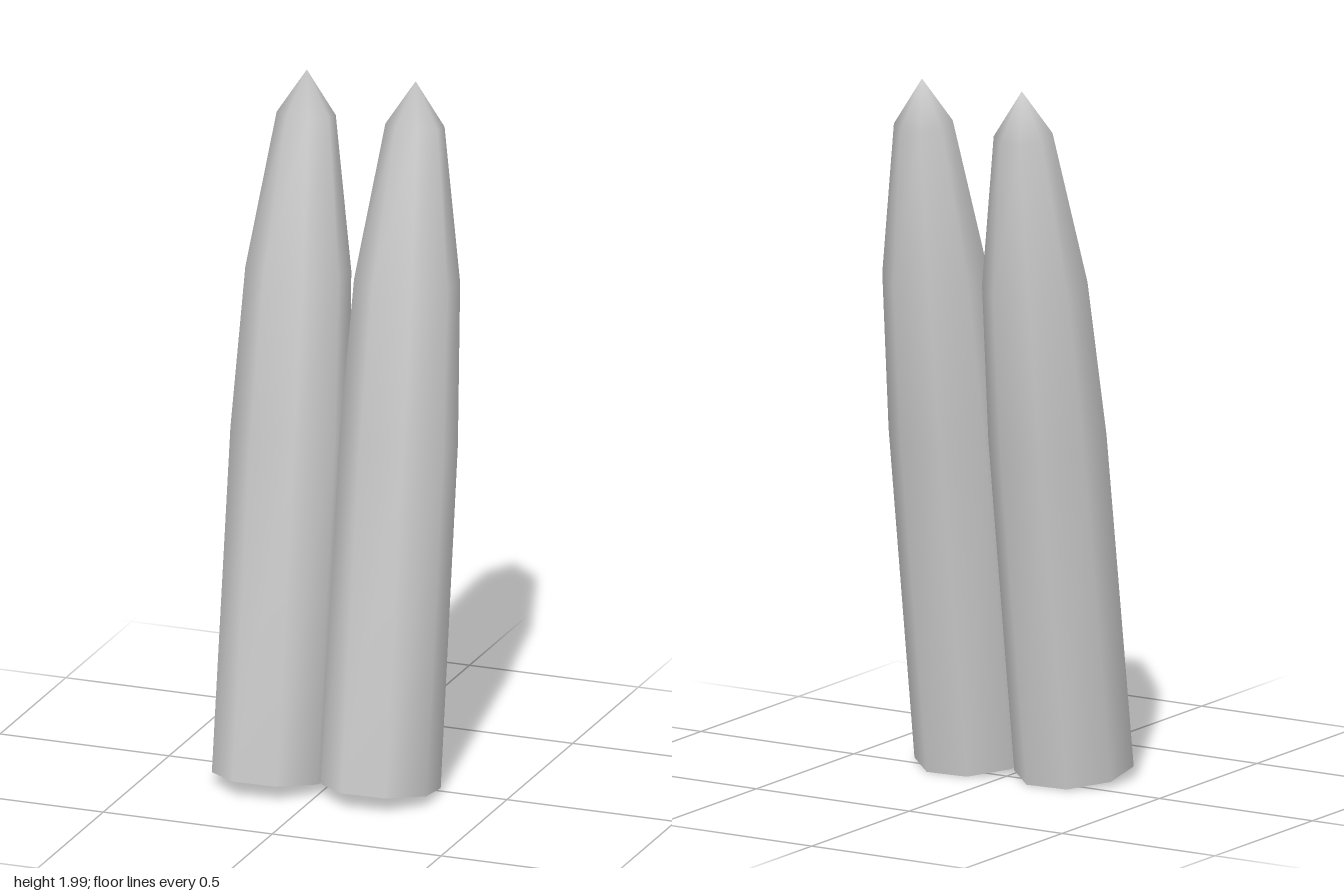
import * as THREE from 'three';

// Cross-sections of one prong: height, z centre, half width, half depth, tilt (rise per unit z)
const RINGS = [
  { y: 0.028, z: 0.081, rx: 0.166, rz: 0.166, tilt: 0.145 },
  { y: 0.99, z: -0.055, rx: 0.164, rz: 0.165, tilt: 0.18 },
  { y: 1.44, z: -0.12, rx: 0.147, rz: 0.145, tilt: 0.15 },
  { y: 1.875, z: -0.18, rx: 0.082, rz: 0.081, tilt: 0.2 },
];
const TIP = [-0.002, 2, -0.19];
const SIDES = 8;
const TWIST = THREE.MathUtils.degToRad(22.5 - 3);

// Open-ended, eight-sided tube that bends backwards and closes in a point
function prongGeometry() {
  const positions = [];
  const index = [];
  for (const r of RINGS) {
    for (let i = 0; i < SIDES; i++) {
      const a = TWIST + (i / SIDES) * Math.PI * 2;
      const dz = Math.sin(a) * r.rz;
      positions.push(Math.cos(a) * r.rx, r.y + dz * r.tilt, r.z + dz);
    }
  }
  positions.push(...TIP);
  const tip = RINGS.length * SIDES;
  for (let j = 0; j < RINGS.length; j++) {
    for (let i = 0; i < SIDES; i++) {
      const a = j * SIDES + i;
      const b = j * SIDES + ((i + 1) % SIDES);
      if (j === RINGS.length - 1) index.push(a, tip, b);
      else index.push(a, a + SIDES, b, b, a + SIDES, b + SIDES);
    }
  }
  const geometry = new THREE.BufferGeometry();
  geometry.setAttribute('position', new THREE.Float32BufferAttribute(positions, 3));
  geometry.setIndex(index);
  geometry.computeVertexNormals();
  return geometry;
}

export function createModel() {
  const group = new THREE.Group();
  group.name = 'twinProngs';
  const material = new THREE.MeshStandardMaterial({ color: 0xcccccc, side: THREE.DoubleSide });
  const geometry = prongGeometry();

  // Two matching prongs side by side, the right one slightly further forward
  for (const [name, x, z] of [['leftProng', 0.158, 0], ['rightProng', -0.157, 0.018]]) {
    const prong = new THREE.Mesh(geometry, material);
    prong.name = name;
    prong.position.set(x, 0, z);
    group.add(prong);
  }
  return group;
}
